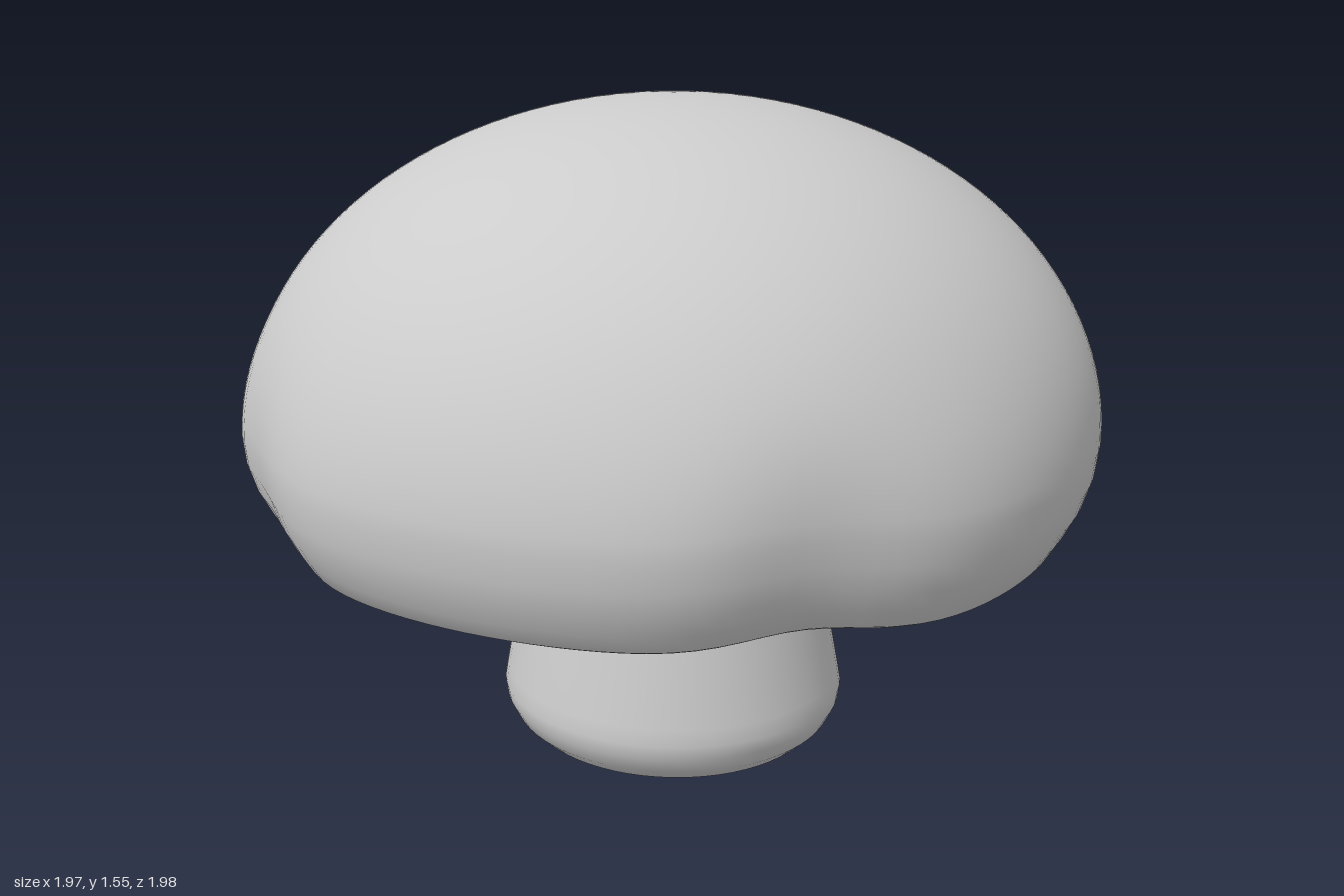
import * as THREE from 'three';
import { mergeVertices } from 'three/addons/utils/BufferGeometryUtils.js';

// Lathe with welded seam, optional vertex rule, and smooth normals
function smoothLathe(points, segments, rule) {
  const lathe = new THREE.LatheGeometry(points, segments);
  lathe.deleteAttribute('uv');
  lathe.deleteAttribute('normal');
  const geo = mergeVertices(lathe, 1e-5);
  const pos = geo.attributes.position;
  const v = new THREE.Vector3();
  for (let i = 0; i < pos.count; i++) {
    rule(v.fromBufferAttribute(pos, i));
    pos.setXYZ(i, v.x, v.y, v.z);
  }
  geo.computeVertexNormals();
  return geo;
}

const bump = (a, centre, width) => {
  const d = Math.atan2(Math.sin(a - centre), Math.cos(a - centre));
  return Math.exp(-((d / width) ** 2));
};

// Dents around the rim: angle from the front, depth, lift of the lower edge
const dents = [
  [0.68, 0.05, 0.02],
  [-0.73, 0.035, 0.01],
  [Math.PI - 0.5, 0.012, 0],
  [Math.PI + 0.55, 0.02, 0],
];

function shapeCap(v) {
  const a = Math.atan2(v.x, v.z);
  const r = Math.hypot(v.x, v.z);
  const low = 1 - THREE.MathUtils.smoothstep(v.y, 0.72, 1.15);
  const outer = THREE.MathUtils.smoothstep(r, 0.5, 0.9);
  let scale = 1 + low * outer * (0.008 * Math.cos(a) ** 2 + 0.025 * Math.sin(2 * a) ** 2);
  let lift = -0.025 * bump(a, Math.PI, 0.5);
  for (const [angle, depth, rise] of dents) {
    const b = bump(a, angle, 0.2);
    scale -= depth * b * low * outer;
    lift += rise * b;
  }
  v.x *= scale;
  v.z *= scale;
  v.y += lift * low * outer;
}

export function createModel() {
  const group = new THREE.Group();
  const material = new THREE.MeshStandardMaterial({ color: 0xcccccc, side: THREE.DoubleSide });
  const vec = ([x, y]) => new THREE.Vector2(x, y);

  // Cap: shallow hollow underside, rounded lip, half-ellipse dome
  const capProfile = [[0, 0.7], [0.3, 0.695], [0.45, 0.68], [0.6, 0.655], [0.72, 0.63],
    [0.82, 0.612], [0.87, 0.606], [0.9, 0.606], [0.917, 0.615], [0.94, 0.655],
    [0.962, 0.7], [0.978, 0.755]].map(vec);
  for (let i = 0; i <= 32; i++) {
    const t = (i / 32) * Math.PI / 2;
    capProfile.push(new THREE.Vector2(i === 32 ? 0 : 0.985 * Math.cos(t), 0.82 + 0.74 * Math.sin(t)));
  }
  const cap = new THREE.Mesh(smoothLathe(capProfile, 128, shapeCap), material);
  cap.name = 'cap';

  // Stem: tapered, with a rounded foot, slightly narrower front to back
  const stemProfile = [[0, 0.005], [0.15, 0.005], [0.28, 0.007], [0.32, 0.014], [0.36, 0.032],
    [0.395, 0.065], [0.415, 0.105], [0.42, 0.14], [0.413, 0.18], [0.39, 0.3],
    [0.36, 0.45], [0.329, 0.6], [0.31, 0.69], [0.28, 0.74], [0, 0.76]].map(vec);
  const stem = new THREE.Mesh(smoothLathe(stemProfile, 64, (v) => {
    v.z = v.z * 0.955 + 0.01;
  }), material);
  stem.name = 'stem';

  group.add(cap, stem);
  return group;
}
